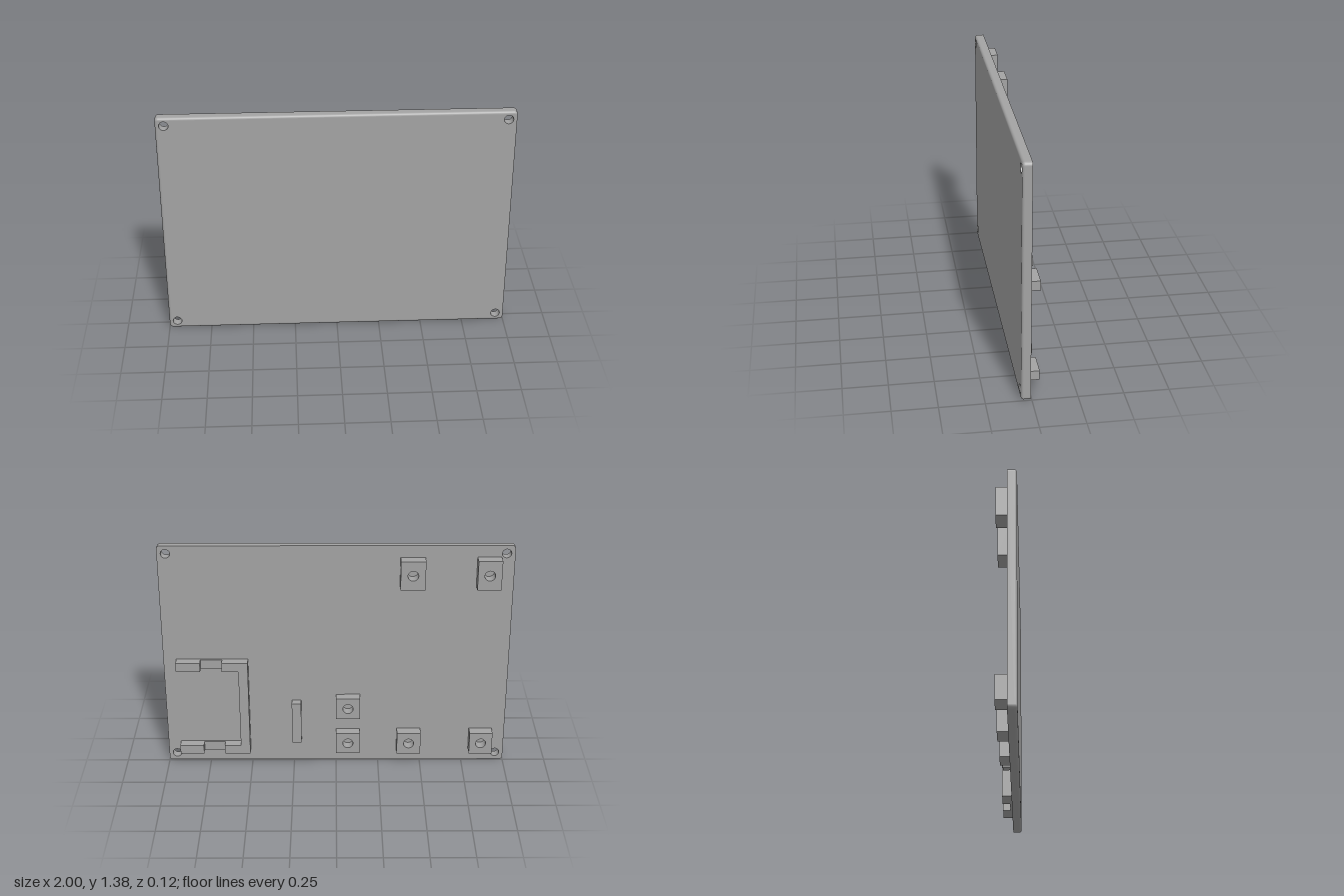
import * as THREE from 'three';

const H = 1.385, FRONT = 0.058, BACK = 0.006;
const CORNER = 0.02, FILLET = 0.015;

// Rounded rectangle outline of the panel, drawn in by an inset
function outline(inset) {
  const pts = [], r = CORNER - inset, cx = 1 - CORNER, cy = H / 2 - CORNER;
  [[1, 1], [-1, 1], [-1, -1], [1, -1]].forEach(([sx, sy], q) => {
    for (let i = 0; i <= 5; i++) {
      const a = (q + i / 5) * Math.PI / 2;
      pts.push(new THREE.Vector2(sx * cx + r * Math.cos(a), H / 2 + sy * cy + r * Math.sin(a)));
    }
  });
  return pts;
}

function addHole(shape, x, y, r) {
  shape.holes.push(new THREE.Path().absarc(x, y, r, 0, Math.PI * 2, true));
}

// Panel edge: straight side running into a rounded front edge
function edgeGeometry() {
  const rings = [[0, BACK]];
  for (let i = 0; i <= 6; i++) {
    const a = i / 6 * Math.PI / 2;
    rings.push([FILLET * (1 - Math.cos(a)), FRONT - FILLET * (1 - Math.sin(a))]);
  }
  const pos = [], idx = [];
  let n = 0;
  rings.forEach(([inset, z], k) => {
    const pts = outline(inset);
    n = pts.length;
    pts.forEach(p => pos.push(p.x, p.y, z));
    if (k === 0) return;
    for (let i = 0; i < n; i++) {
      const a = (k - 1) * n + i, b = (k - 1) * n + (i + 1) % n;
      idx.push(a, b, b + n, a, b + n, a + n);
    }
  });
  const g = new THREE.BufferGeometry();
  g.setAttribute('position', new THREE.Float32BufferAttribute(pos, 3));
  g.setIndex(idx);
  g.computeVertexNormals();
  return g;
}

export function createModel() {
  const model = new THREE.Group();
  const grey = new THREE.MeshStandardMaterial({ color: 0xa3a3a3 });
  grey.name = 'grey';

  const add = (name, geometry, parent = model) => {
    const mesh = new THREE.Mesh(geometry, grey);
    mesh.name = name;
    parent.add(mesh);
    return mesh;
  };
  // Raised part on the back of the panel, from a shape and the z of its top
  const raise = (name, shape, z, parent) => add(name,
    new THREE.ExtrudeGeometry(shape, { depth: BACK - z, bevelEnabled: false, curveSegments: 24 }).translate(0, 0, z), parent);
  const polygon = pts => new THREE.Shape(pts.map(([x, y]) => new THREE.Vector2(x, y)));
  const rect = (x0, x1, y0, y1) => polygon([[x0, y0], [x1, y0], [x1, y1], [x0, y1]]);

  // Panel with four corner screw holes
  const panel = new THREE.Group();
  panel.name = 'panel';
  model.add(panel);
  const frontShape = new THREE.Shape(outline(FILLET));
  const backShape = new THREE.Shape(outline(0));
  for (const x of [-0.952, 0.952]) {
    for (const y of [0.048, H - 0.048]) {
      addHole(frontShape, x, y, 0.026);
      addHole(backShape, x, y, 0.026);
      const wall = new THREE.LatheGeometry(
        [new THREE.Vector2(0.026, FRONT), new THREE.Vector2(0.026, BACK)], 48);
      add('screwHoleWall', wall.rotateX(Math.PI / 2).translate(x, y, 0), panel);
    }
  }
  add('panelFront', new THREE.ShapeGeometry(frontShape, 24).translate(0, 0, FRONT), panel);
  add('panelBack', new THREE.ShapeGeometry(backShape, 24).rotateY(Math.PI).scale(1, 1, 1)
    .translate(0, 0, BACK), panel);
  add('panelEdge', edgeGeometry(), panel);

  // Mounting blocks with a bored hole: x0, x1, y0, y1, top z
  const blocks = [
    [-0.925, -0.79, 1.14, 1.315, -0.058], [-0.5, -0.36, 1.14, 1.315, -0.058],
    [-0.925, -0.79, 0.077, 0.215, -0.058], [-0.5, -0.36, 0.077, 0.215, -0.058],
    [-0.14, 0, 0.31, 0.445, -0.053], [-0.14, 0, 0.077, 0.212, -0.053],
  ];
  for (const [x0, x1, y0, y1, z] of blocks) {
    const shape = rect(x0, x1, y0, y1);
    addHole(shape, (x0 + x1) / 2, (y0 + y1) / 2, 0.03);
    raise('mountingBlock', shape, z);
  }

  // Upright rib
  raise('rib', rect(0.205, 0.26, 0.145, 0.407), -0.043);

  // Open bracket: C-shaped wall, low links and two end blocks
  const bracket = new THREE.Group();
  bracket.name = 'bracket';
  model.add(bracket);
  const [b0, b1, t] = [0.077, 0.68, 0.055];
  raise('bracketWall', polygon([[0.51, b0], [0.66, b0], [0.66, b0 + t], [0.565, b0 + t],
    [0.565, b1 - t], [0.66, b1 - t], [0.66, b1], [0.51, b1]]), -0.053, bracket);
  for (const y of [b0, b1 - t]) {
    raise('bracketLink', rect(0.66, 0.785, y, y + t), -0.009, bracket);
    raise('bracketEnd', rect(0.785, 0.925, y, y + t), -0.053, bracket);
  }
  return model;
}
